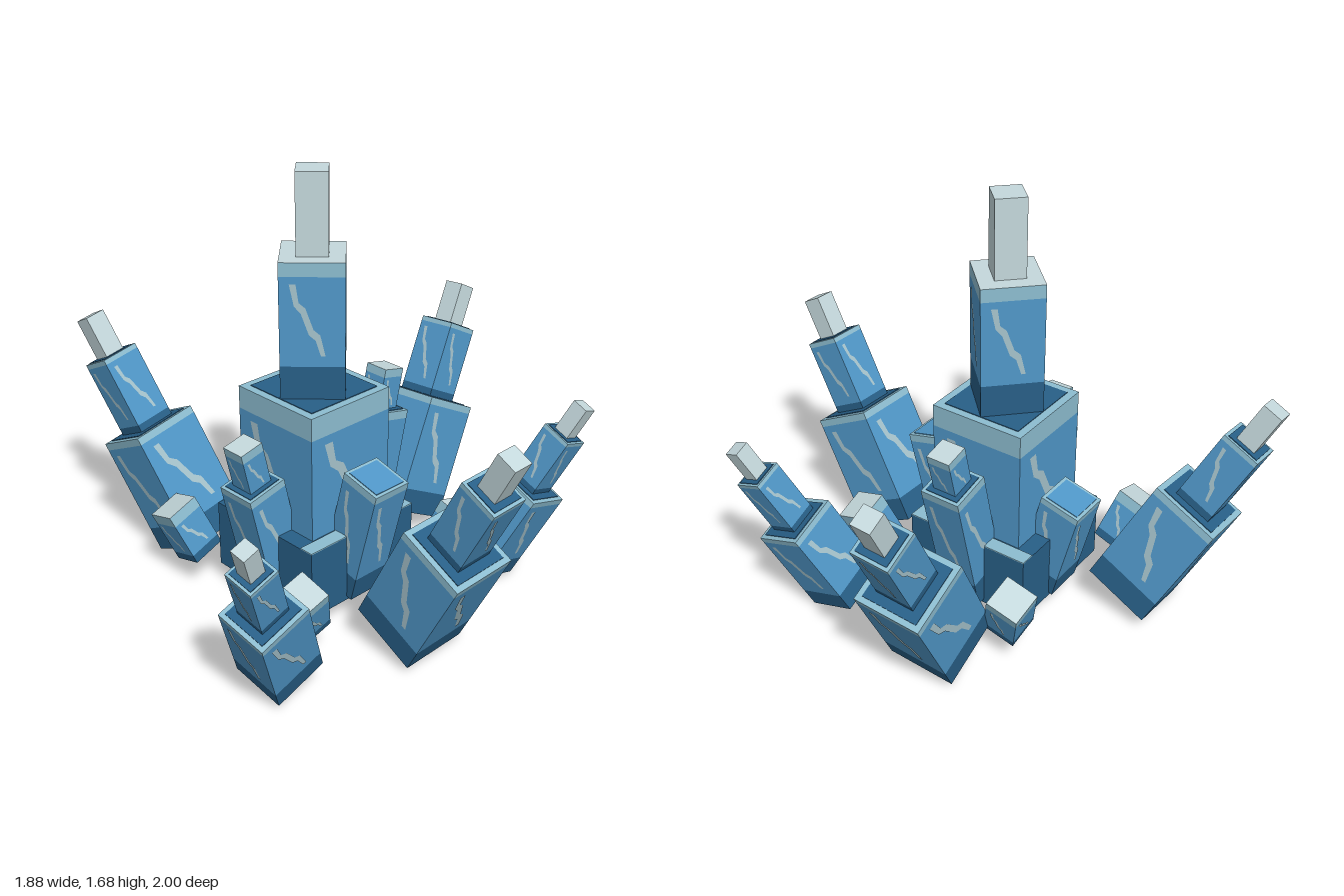
import * as THREE from 'three';

const mat = (name, color) => {
  const m = new THREE.MeshStandardMaterial({ color });
  m.name = name;
  return m;
};

export function createModel() {
  const body = mat('crystal blue', 0x5097c8);
  const dark = mat('dark blue', 0x285f87);
  const deep = mat('deep blue', 0x1f4a69);
  const rim = mat('pale teal', 0x8dbdd0);
  const streak = mat('streak grey', 0xa6c3cc);
  const pale = mat('pale tip', 0xc4d8dc);

  const model = new THREE.Group();
  model.name = 'crystalCluster';
  const UP = new THREE.Vector3(0, 1, 0);

  // Box standing on y0; sides, top and bottom may differ in colour
  function band(parent, name, w, y0, h, side, top = side, bottom = side) {
    const mesh = new THREE.Mesh(new THREE.BoxGeometry(w, h, w), [side, side, top, bottom, side, side]);
    mesh.position.y = y0 + h / 2;
    mesh.name = name;
    parent.add(mesh);
    return mesh;
  }

  // Zigzag glint as a flat sheet, repeated on the four sides
  function glints(parent, w, y0, h) {
    const pts = [[-0.34, 0.92], [-0.24, 0.92], [-0.2, 0.72], [-0.1, 0.66], [0.02, 0.42], [0.12, 0.36],
      [0.2, 0.12], [0.13, 0.12], [0.05, 0.3], [-0.05, 0.36], [-0.17, 0.6], [-0.27, 0.68]];
    const shape = new THREE.Shape(pts.map(([x, y]) => new THREE.Vector2(x * w, y0 + y * h)));
    const geo = new THREE.ShapeGeometry(shape);
    geo.translate(0, 0, w / 2 + 0.002);
    for (let i = 0; i < 4; i++) {
      const mesh = new THREE.Mesh(geo, streak);
      mesh.rotation.y = i * Math.PI / 2;
      mesh.name = 'glint';
      parent.add(mesh);
    }
  }

  // One faceted block: dark foot, blue body, pale rim and an inset top
  function tier(parent, name, w, y0, h, { foot = 0.2, edge = 0.06, inset = dark } = {}) {
    const g = new THREE.Group();
    g.name = name;
    const f = h * foot, e = Math.max(h * edge, w * 0.1);
    if (f > 0) band(g, 'foot', w, y0, f, dark, dark, deep);
    band(g, 'body', w, y0 + f, h - f - e, body, body, deep);
    band(g, 'rim', w, y0 + h - e, e, rim, inset === pale ? pale : rim);
    if (inset !== pale) band(g, 'topInset', w * 0.84, y0 + h, 0.003, inset);
    glints(g, w, y0 + f, h - f - e);
    parent.add(g);
    return g;
  }

  // Group whose y axis runs from a to b
  function leaning(name, a, b) {
    const g = new THREE.Group(), from = new THREE.Vector3(...a), dir = new THREE.Vector3(...b).sub(from);
    g.name = name;
    g.position.copy(from);
    g.userData.len = dir.length();
    g.quaternion.setFromUnitVectors(UP, dir.normalize());
    model.add(g);
    return g;
  }

  // Central spire
  const spire = new THREE.Group();
  spire.name = 'centralSpire';
  spire.position.set(-0.078, 0, -0.036);
  model.add(spire);
  band(spire, 'base', 0.53, 0.07, 0.275, dark, dark, deep);
  for (const [x, z, w, d] of [[0.235, 0, 0.06, 0.53], [-0.03, 0.235, 0.47, 0.06]]) {
    const strip = new THREE.Mesh(new THREE.BoxGeometry(w, 0.004, d), rim);
    strip.position.set(x, 0.347, z);
    strip.name = 'baseEdge';
    spire.add(strip);
  }
  tier(spire, 'middleBlock', 0.395, 0.345, 0.5, { foot: 0, edge: 0.18 });
  tier(spire, 'upperColumn', 0.237, 0.845, 0.525, { foot: 0.25, edge: 0.1, inset: pale }).rotation.y = Math.PI / 4;
  band(spire, 'spireTip', 0.117, 1.37, 0.307, pale).rotation.y = Math.PI / 4;

  // Large three-step crystals leaning outward
  const large = [
    ['frontCrystal', [-0.115, 0.085, 0.505], [-0.145, 0.95, 0.96], 1],
    ['leftCrystal', [0.455, 0.09, -0.115], [0.91, 0.95, -0.185], 1],
    ['backCrystal', [-0.25, 0.078, -0.53], [-0.425, 0.955, -0.965], 1],
    ['frontRightCrystal', [-0.62, 0.075, 0.36], [-0.9, 0.75, 0.53], 0.77],
    ['frontLeftCrystal', [0.42, 0.075, 0.38], [0.665, 0.755, 0.655], 0.78],
  ];
  for (const [name, a, b, s] of large) {
    const g = leaning(name, a, b), L = g.userData.len;
    tier(g, 'lowerBlock', 0.278 * s, 0, L * 0.5);
    tier(g, 'middleBlock', 0.158 * s, L * 0.5, L * 0.325, { foot: 0.1 });
    band(g, 'tip', 0.083 * s, L * 0.825, L * 0.175, pale);
  }

  // Slim shards against the base; two carry a smaller step
  const shards = [
    ['frontShard', [-0.08, 0.1, 0.17], [-0.08, 0.59, 0.295], 0],
    ['backShard', [-0.08, 0.1, -0.235], [-0.08, 0.505, -0.338], 0],
    ['rightShard', [-0.285, 0.1, -0.036], [-0.39, 0.555, -0.036], 0.175],
    ['leftShard', [0.14, 0.1, -0.036], [0.267, 0.65, -0.036], 0.165],
  ];
  for (const [name, a, b, step] of shards) {
    const g = leaning(name, a, b), L = g.userData.len;
    tier(g, 'shardBlock', 0.168, 0, L, { inset: step ? dark : body });
    if (step) tier(g, 'shardTop', 0.1, L, step, { foot: 0, edge: 0.2, inset: pale });
  }

  // Small stubs at the diagonals
  const stubs = [
    ['frontRightStub', [-0.435, 0.125, 0.285], [-0.5, 0.305, 0.345]],
    ['frontLeftStub', [0.2, 0.125, 0.335], [0.275, 0.365, 0.415]],
    ['backRightStub', [-0.395, 0.125, -0.365], [-0.465, 0.325, -0.43]],
    ['backLeftStub', [0.28, 0.125, -0.3], [0.345, 0.31, -0.358]],
  ];
  for (const [name, a, b] of stubs) {
    const g = leaning(name, a, b);
    tier(g, 'stubBlock', 0.135, 0, g.userData.len, { foot: 0.15, edge: 0.2, inset: pale });
  }

  return model;
}
